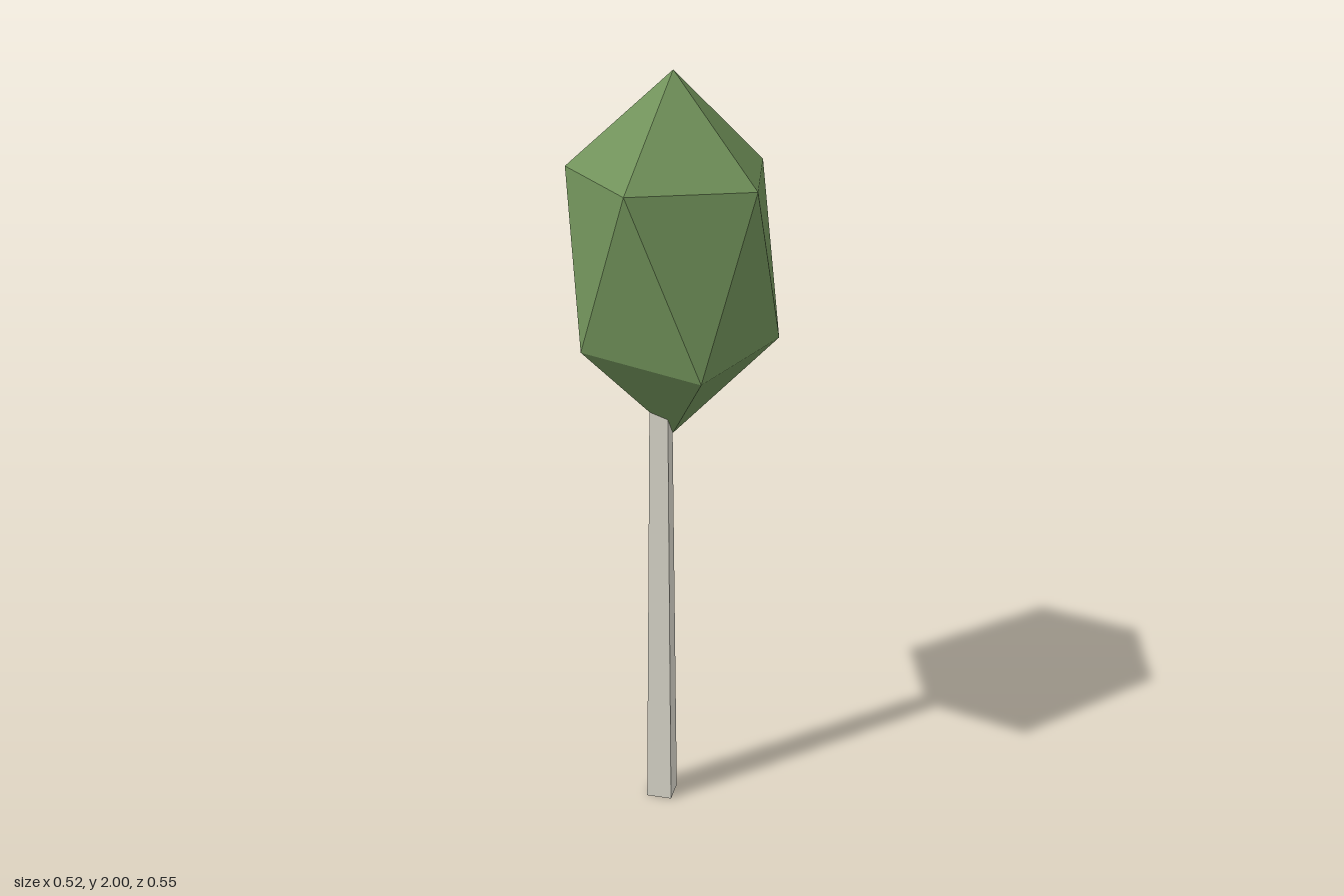
import * as THREE from 'three';

const leafGreen = new THREE.MeshStandardMaterial({ color: 0x71925a, flatShading: true });
leafGreen.name = 'leaf green';
const barkGrey = new THREE.MeshStandardMaterial({ color: 0xdad7cb, flatShading: true });
barkGrey.name = 'pale bark';

// Stretched, slightly irregular icosahedron: two rings of five corners and two tips
function crownGeometry() {
  const top = [0, 2, 0];
  const bottom = [0, 1.08, 0];
  const upper = [
    [0.257, 1.753, 0], [0.085, 1.768, -0.27], [-0.208, 1.765, -0.155],
    [-0.23, 1.77, 0.163], [0.08, 1.755, 0.242],
  ];
  const lower = [
    [0.222, 1.34, -0.167], [-0.088, 1.33, -0.274], [-0.26, 1.35, 0],
    [-0.09, 1.325, 0.273], [0.213, 1.345, 0.152],
  ];
  const positions = [];
  const face = (a, b, c) => positions.push(...a, ...b, ...c);
  for (let i = 0; i < 5; i++) {
    const j = (i + 1) % 5;
    face(top, upper[i], upper[j]);
    face(upper[i], lower[i], upper[j]);
    face(lower[i], lower[j], upper[j]);
    face(bottom, lower[j], lower[i]);
  }
  const geometry = new THREE.BufferGeometry();
  geometry.setAttribute('position', new THREE.Float32BufferAttribute(positions, 3));
  geometry.computeVertexNormals();
  return geometry;
}

export function createModel() {
  const tree = new THREE.Group();
  tree.name = 'tree';

  const crown = new THREE.Mesh(crownGeometry(), leafGreen);
  crown.name = 'crown';
  tree.add(crown);

  // Four-sided tapering trunk, corner forward, reaching up into the crown
  const height = 1.2;
  const trunk = new THREE.Mesh(new THREE.CylinderGeometry(0.033, 0.048, height, 4), barkGrey);
  trunk.name = 'trunk';
  trunk.position.set(-0.036, height / 2, 0);
  tree.add(trunk);

  return tree;
}
